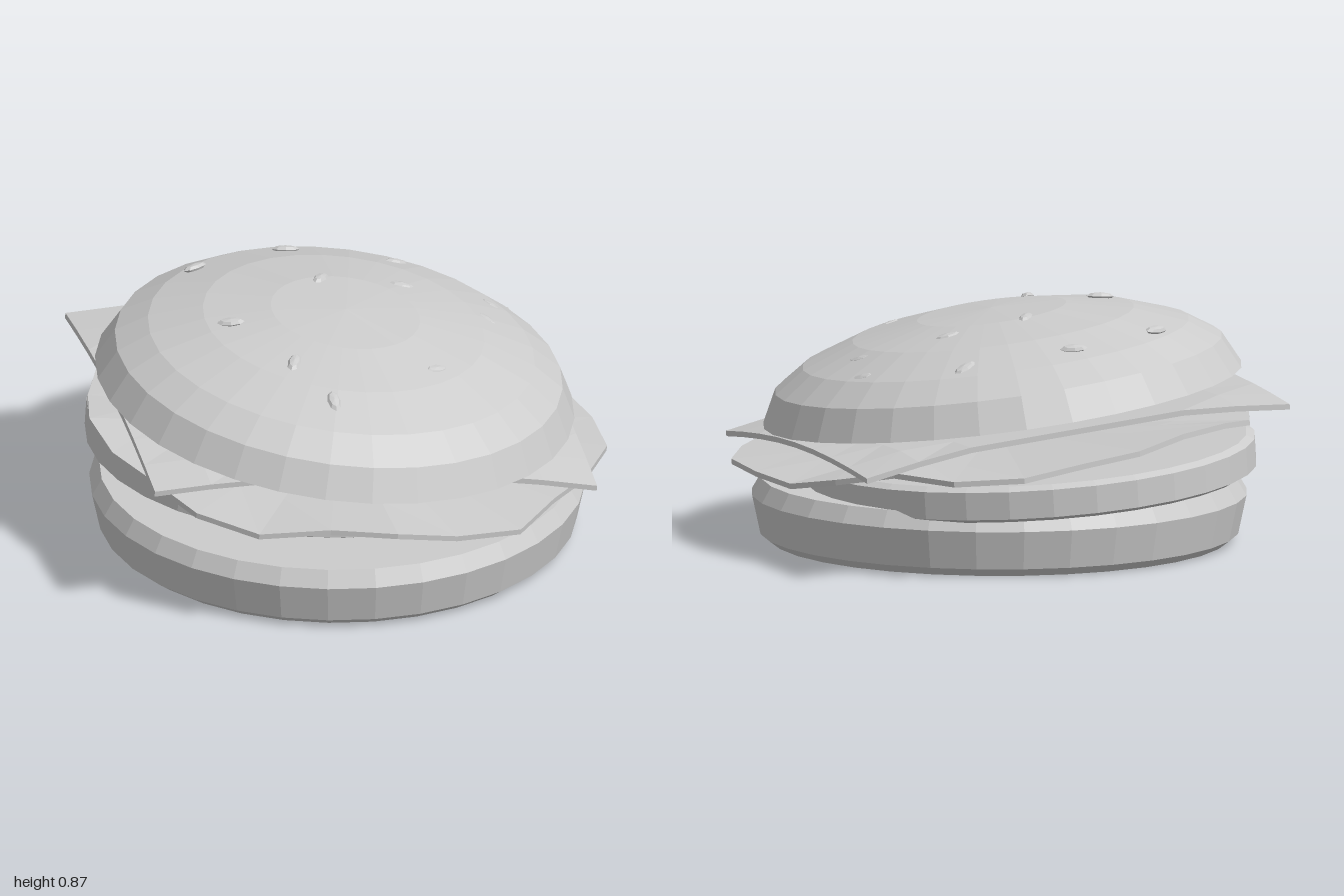
import * as THREE from 'three';

const material = new THREE.MeshStandardMaterial({ color: 0xcccccc, flatShading: true });

function addPart(parent, name, geometry, position = [0, 0, 0], tiltX = 0, tiltZ = 0) {
  const mesh = new THREE.Mesh(geometry, material);
  mesh.name = name;
  mesh.position.set(...position);
  mesh.rotation.set(tiltX, 0, tiltZ);
  parent.add(mesh);
  return mesh;
}

// Profile points are [radius, height], listed from the bottom up
const lathe = (points, segments = 32) =>
  new THREE.LatheGeometry(points.map(([r, y]) => new THREE.Vector2(r, y)), segments);

// Move every vertex of a geometry by a rule
function deform(geometry, rule) {
  const p = geometry.attributes.position;
  const v = new THREE.Vector3();
  for (let i = 0; i < p.count; i++) {
    rule(v.fromBufferAttribute(p, i));
    p.setXYZ(i, v.x, v.y, v.z);
  }
  geometry.computeVertexNormals();
  return geometry;
}

// Thin leaf with an uneven outline and a wavy rim
function lettuceGeometry() {
  const outline = [0.91, 0.93, 0.91, 0.96, 0.91, 0.93, 0.96, 0.93, 0.92, 0.92, 0.90, 0.97,
    0.96, 0.89, 0.88, 0.87, 0.90, 0.92, 0.91, 0.93, 0.93, 0.91, 0.97, 0.98];
  const n = outline.length;
  const leaf = lathe([[0, -0.012], [0.7, -0.012], [1, -0.01], [1, 0.01], [0.7, 0.012], [0, 0.012]], n);
  return deform(leaf, (v) => {
    const r = Math.hypot(v.x, v.z);
    const angle = Math.atan2(v.x, v.z);
    const k = (Math.round(angle / (2 * Math.PI) * n) + n) % n;
    const ruffle = 0.018 * Math.sin(5 * angle + 1) + 0.01 * Math.sin(8 * angle);
    v.y += r * r * ruffle;
    v.x *= outline[k];
    v.z *= outline[k];
  });
}

// Slice whose corners sag beyond the filling
function cheeseGeometry() {
  const slice = new THREE.BoxGeometry(1.64, 0.02, 1.38, 8, 1, 8).rotateY(0.275);
  return deform(slice, (v) => {
    v.y -= 0.18 * Math.max(0, Math.hypot(v.x, v.z) - 0.82);
  });
}

export function createModel() {
  const model = new THREE.Group();
  model.name = 'burger';

  addPart(model, 'bottomBun', lathe([[0, 0], [0.82, 0], [0.86, 0.03], [0.89, 0.17], [0.855, 0.23], [0, 0.23]]),
    [0.02, 0, 0.015]);
  addPart(model, 'patty', lathe([[0, -0.065], [0.78, -0.065], [0.81, -0.05], [0.81, 0.05], [0.78, 0.065], [0, 0.065]]),
    [-0.08, 0.302, -0.12], -0.025, -0.06);
  addPart(model, 'lettuce', lettuceGeometry(), [0.03, 0.385, 0], 0, -0.1);
  addPart(model, 'cheese', cheeseGeometry(), [0, 0.485, -0.05], 0, -0.108);

  // Tilted domed bun with a flat underside
  const radius = 0.867, height = 0.32;
  const topBun = addPart(model, 'topBun',
    lathe([[0, 0], [radius, 0], [0.81, 0.115], [0.7, 0.19], [0.51, 0.26], [0.27, 0.305], [0, height]]),
    [0.01, 0.525, 0], 0.018, -0.127);

  // Flattened seeds lying on the dome: [x, z, heading]
  const seeds = [[-0.2, -0.58, 0.1], [0.2, -0.61, 0.6], [-0.52, -0.37, 0.7], [0.55, -0.4, -0.5],
    [0.23, -0.3, 0.1], [-0.06, -0.24, 1.2], [-0.37, 0.14, 0.1], [0.38, 0.27, 0.6],
    [0.54, -0.22, -0.6], [-0.13, 0.38, 1.4], [0.02, 0.56, -1.3]];
  const seedShape = new THREE.SphereGeometry(1, 8, 4).scale(0.05, 0.014, 0.024);
  const up = new THREE.Vector3(0, 1, 0);
  for (const [x, z, heading] of seeds) {
    const y = height * Math.sqrt(1 - (x * x + z * z) / (radius * radius));
    const seed = addPart(topBun, 'sesameSeed', seedShape, [x - 0.127 * y, y - 0.004, z]);
    const normal = new THREE.Vector3(x / radius ** 2, y / height ** 2, z / radius ** 2).normalize();
    seed.quaternion.setFromUnitVectors(up, normal)
      .multiply(new THREE.Quaternion().setFromAxisAngle(up, heading));
  }
  return model;
}
